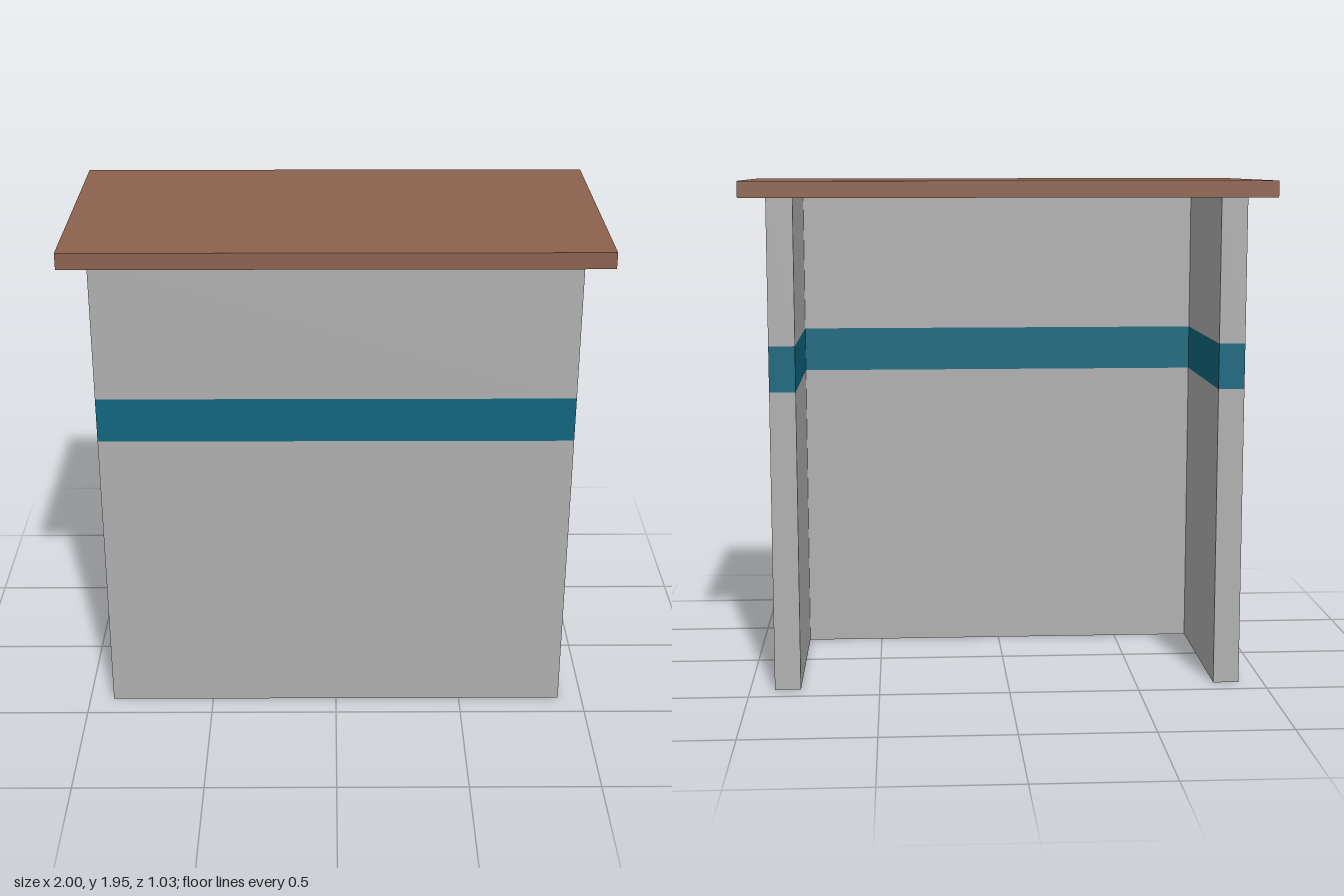
import * as THREE from 'three';

export function createModel() {
  const model = new THREE.Group();
  model.name = 'counter';

  const material = (name, color) => new THREE.MeshStandardMaterial({ name, color });
  const grey = material('grey panel', 0xb0b0b0);
  const teal = material('teal band', 0x0e677e);
  const brown = material('brown wood', 0x8c624e);

  // U-shaped plan, open at the back (shape y is -z)
  const halfWidth = 0.905, front = 0.40, back = -0.413, thick = 0.1;
  const inner = halfWidth - thick;
  const plan = new THREE.Shape([
    [-halfWidth, -front], [halfWidth, -front], [halfWidth, -back], [inner, -back],
    [inner, thick - front], [-inner, thick - front], [-inner, -back], [-halfWidth, -back],
  ].map(([x, y]) => new THREE.Vector2(x, y)));

  // One horizontal layer of the walls
  function wallLayer(name, bottom, top, mat) {
    const geometry = new THREE.ExtrudeGeometry(plan, { depth: top - bottom, bevelEnabled: false });
    geometry.rotateX(-Math.PI / 2);
    const mesh = new THREE.Mesh(geometry, mat);
    mesh.name = name;
    mesh.position.y = bottom;
    model.add(mesh);
  }
  wallLayer('lowerWalls', 0, 1.16, grey);
  wallLayer('wallBand', 1.16, 1.335, teal);
  wallLayer('upperWalls', 1.335, 1.89, grey);

  // Overhanging countertop
  const countertop = new THREE.Mesh(new THREE.BoxGeometry(2, 0.062, 1.032), brown);
  countertop.name = 'countertop';
  countertop.position.y = 1.921;
  model.add(countertop);

  return model;
}
